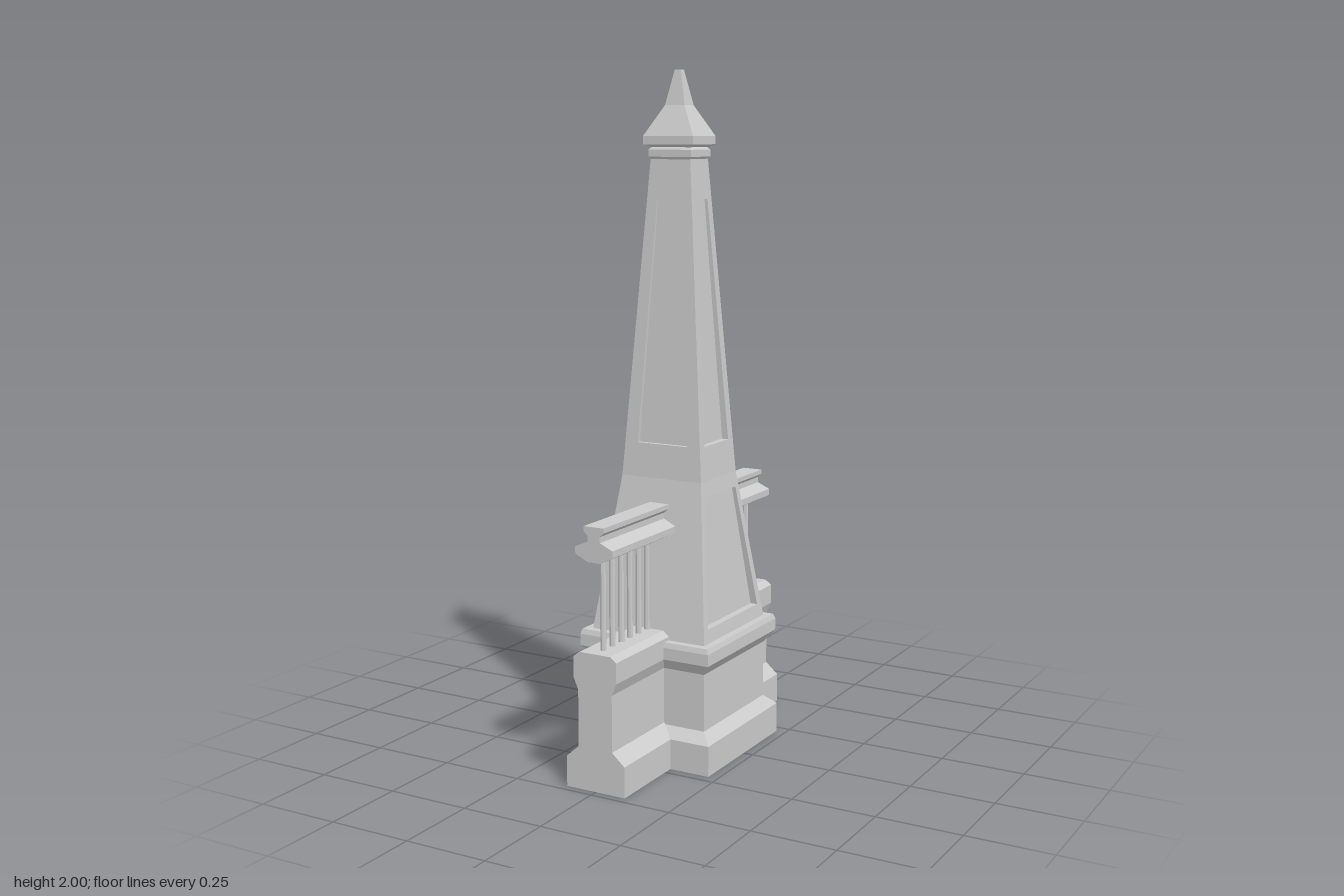
import * as THREE from 'three';

const material = new THREE.MeshStandardMaterial({ color: 0xcccccc, flatShading: true });

function addMesh(parent, name, geometry) {
  const mesh = new THREE.Mesh(geometry, material);
  mesh.name = name;
  parent.add(mesh);
  return mesh;
}

// Stack of rectangular sections [y, halfX, halfZ].
// panels: { tier, axis: 'x' | 'z', bottom: [y, half, depth], top: [y, half, depth] }
function loft(sections, panels = []) {
  const pos = [];
  const quad = (a, b, c, d) => [a, b, c, a, c, d].forEach((p) => pos.push(p.x, p.y, p.z));
  const up = new THREE.Vector3(0, 1, 0);

  for (let side = 0; side < 4; side++) {
    const axis = side % 2 ? 'x' : 'z';
    const sign = side < 2 ? 1 : -1;
    const out = axis === 'x' ? new THREE.Vector3(sign, 0, 0) : new THREE.Vector3(0, 0, sign);
    const tangent = up.clone().cross(out);
    const point = (s, y, d) =>
      tangent.clone().multiplyScalar(s).addScaledVector(out, d).setY(y);

    for (let t = 0; t < sections.length - 1; t++) {
      const [lo, hi] = [sections[t], sections[t + 1]];
      const [o, w] = axis === 'x' ? [1, 2] : [2, 1];
      const frame = [
        point(-lo[w], lo[0], lo[o]), point(lo[w], lo[0], lo[o]),
        point(hi[w], hi[0], hi[o]), point(-hi[w], hi[0], hi[o]),
      ];
      const panel = panels.find((p) => p.tier === t && p.axis === axis);
      if (!panel) {
        quad(...frame);
        continue;
      }
      // Border, reveal and recessed field
      const corner = ([y, half, depth], s, inset) => {
        const k = (y - lo[0]) / (hi[0] - lo[0]);
        return point(s * half, y, THREE.MathUtils.lerp(lo[o], hi[o], k) - inset * depth);
      };
      const ring = (inset) => [
        corner(panel.bottom, -1, inset), corner(panel.bottom, 1, inset),
        corner(panel.top, 1, inset), corner(panel.top, -1, inset),
      ];
      const rim = ring(0);
      const field = ring(1);
      for (let i = 0; i < 4; i++) {
        const j = (i + 1) % 4;
        quad(frame[i], frame[j], rim[j], rim[i]);
        quad(rim[i], rim[j], field[j], field[i]);
      }
      quad(...field);
    }
  }

  // End caps
  const rect = ([y, x, z]) => [[-x, z], [x, z], [x, -z], [-x, -z]]
    .map(([px, pz]) => new THREE.Vector3(px, y, pz));
  quad(...rect(sections[sections.length - 1]));
  quad(...rect(sections[0]).reverse());

  const geometry = new THREE.BufferGeometry();
  geometry.setAttribute('position', new THREE.Float32BufferAttribute(pos, 3));
  geometry.computeVertexNormals();
  return geometry;
}

// Symmetrical profile [halfX, y] run along z
function moulding(profile, z0, z1) {
  const right = profile.map(([x, y]) => new THREE.Vector2(x, y));
  const left = profile.map(([x, y]) => new THREE.Vector2(-x, y)).reverse();
  const geometry = new THREE.ExtrudeGeometry(new THREE.Shape([...right, ...left]), {
    depth: z1 - z0, bevelEnabled: false,
  });
  return geometry.translate(0, 0, z0);
}

export function createModel() {
  const model = new THREE.Group();
  model.name = 'obeliskWithRailings';

  addMesh(model, 'pedestal', loft([
    [0, 0.22, 0.22], [0.09, 0.22, 0.22], [0.12, 0.188, 0.188], [0.29, 0.188, 0.188],
    [0.325, 0.215, 0.215], [0.36, 0.215, 0.215], [0.375, 0.21, 0.21],
  ]));

  addMesh(model, 'shaft', loft(
    [[0.37, 0.188, 0.188], [0.83, 0.132, 0.107], [1.75, 0.065, 0.052]],
    [
      { tier: 0, axis: 'x', bottom: [0.415, 0.155, 0.022], top: [0.785, 0.095, 0.012] },
      { tier: 1, axis: 'x', bottom: [0.93, 0.072, 0.02], top: [1.635, 0.035, 0.01] },
      { tier: 1, axis: 'z', bottom: [0.93, 0.083, 0.013], top: [1.63, 0.04, 0.006] },
    ],
  ));

  addMesh(model, 'finial', loft([
    [1.745, 0.062, 0.05], [1.755, 0.07, 0.057], [1.775, 0.07, 0.057], [1.782, 0.063, 0.051],
    [1.79, 0.082, 0.067], [1.813, 0.082, 0.067], [1.9, 0.032, 0.027], [2, 0.01, 0.009],
  ]));

  // Wing walls with balustrades, front and back
  const wallProfile = [
    [0.095, 0], [0.095, 0.09], [0.055, 0.125], [0.055, 0.29], [0.07, 0.325], [0.07, 0.385], [0.05, 0.4],
  ];
  const railProfile = [
    [0.02, 0.66], [0.06, 0.68], [0.06, 0.7], [0.02, 0.718], [0.02, 0.735], [0.032, 0.746], [0.032, 0.76],
  ];
  const barGeometry = new THREE.CylinderGeometry(0.009, 0.009, 0.28, 8);
  for (const [name, turn] of [['front', 0], ['back', Math.PI]]) {
    const wing = new THREE.Group();
    wing.name = name + 'Wing';
    wing.rotation.y = turn;
    addMesh(wing, name + 'Wall', moulding(wallProfile, 0.16, 0.475));
    addMesh(wing, name + 'Handrail', moulding(railProfile, 0.1, 0.475));
    for (let i = 0; i < 6; i++) {
      addMesh(wing, name + 'Baluster', barGeometry).position.set(0, 0.535, 0.19 + i * 0.0476);
    }
    model.add(wing);
  }
  return model;
}
